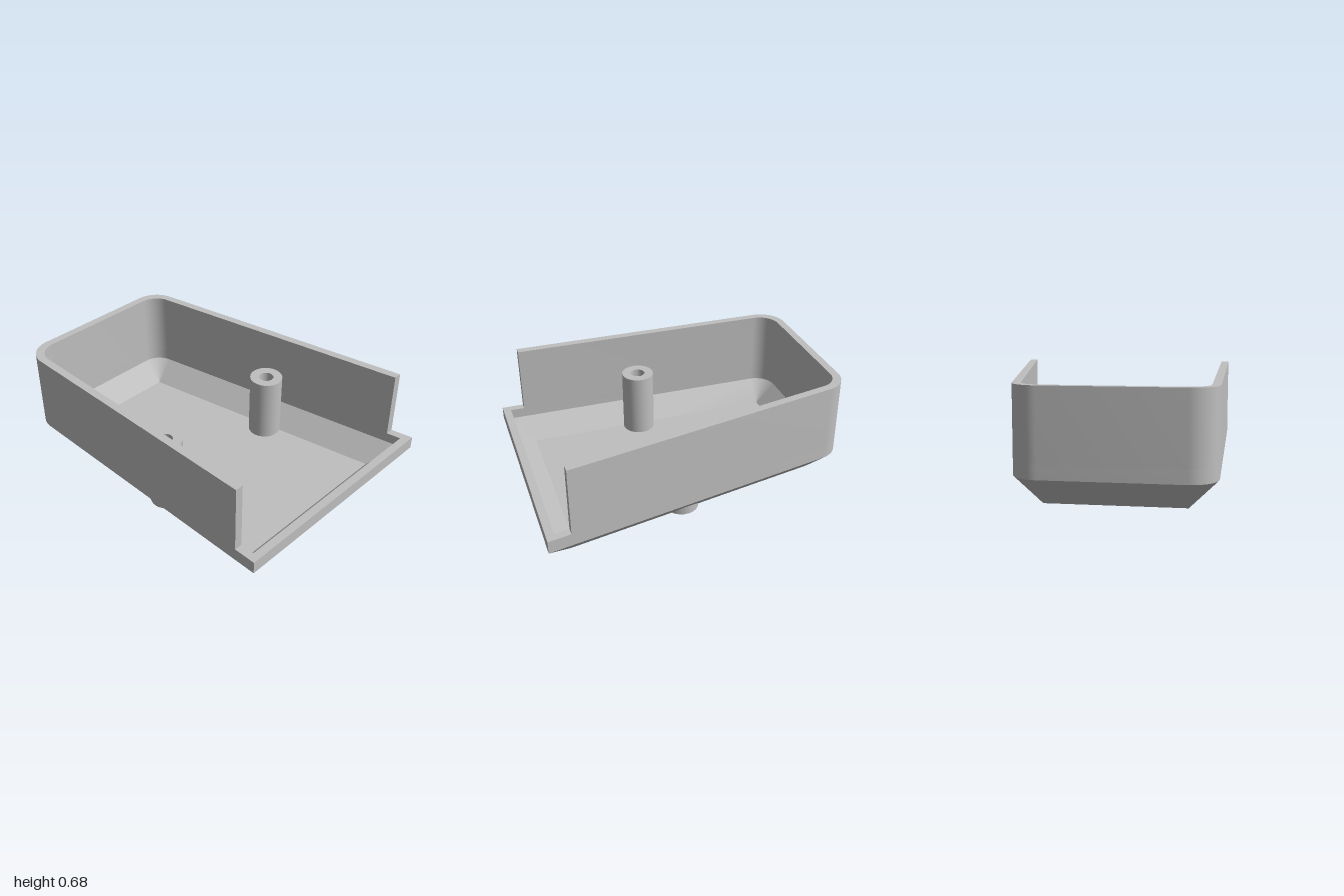
import * as THREE from 'three';
import { mergeGeometries, toCreasedNormals } from 'three/addons/utils/BufferGeometryUtils.js';

const TILT_L = 0.0137, TILT_R = 0.181;      // taper of the two side walls
const SPLIT_Z = 0.86, RIM_Y = 0.245, TOP_Y = 0.675;
const OUTER = { inset: 0, radius: 0.165, floorY: 0 };
const INNER = { inset: 0.05, radius: 0.13, floorY: 0.05 };
const POSTS = [new THREE.Vector2(-0.535, 0.09), new THREE.Vector2(0.37, 0.09)];
const POST_R = 0.105, BORE_R = 0.085, HOLE_R = 0.047;

// Plan coordinates are Vector2(x, z)
const leftAt = (d, z) => new THREE.Vector2(-0.747 + TILT_L * (1 - z) + d * Math.hypot(1, TILT_L), z);
const rightAt = (d, z) => new THREE.Vector2(0.75 - TILT_R * (1 - z) - d * Math.hypot(1, TILT_R), z);

function arc(c, r, a0, a1, n = 14) {
  return Array.from({ length: n + 1 }, (_, i) => {
    const a = a0 + (a1 - a0) * i / n;
    return new THREE.Vector2(c.x + r * Math.cos(a), c.y + r * Math.sin(a));
  });
}

// Key points of one skin: rounded back corners and straight front
function skin({ inset, radius }, frontZ = 1 - inset) {
  const d = inset + radius;
  const floor = [leftAt(d, 1 - d), leftAt(d, -1 + d), rightAt(d, -1 + d), rightAt(d, 1 - d)];
  const arcL = arc(floor[1], radius, Math.PI + Math.atan(TILT_L), 1.5 * Math.PI);
  const arcR = arc(floor[2], radius, 1.5 * Math.PI, 2 * Math.PI - Math.atan(TILT_R));
  const frontL = leftAt(inset, frontZ), frontR = rightAt(inset, frontZ);
  return { floor, arcL, arcR, frontL, frontR, outline: [frontL, ...arcL, ...arcR, frontR] };
}

// Edge a-b with a round bite for a post, bulging towards normal n
function notchedEdge(a, b, post, n) {
  const r = 0.1, dir = b.clone().sub(a).normalize();
  const half = Math.acos(a.clone().sub(post).dot(n) / r);
  const pts = [a];
  for (let i = 0; i <= 24; i++) {
    const t = -half + 2 * half * i / 24;
    pts.push(post.clone().addScaledVector(n, r * Math.cos(t)).addScaledVector(dir, r * Math.sin(t)));
  }
  return [...pts, b];
}

// Flat plan polygon lifted by a height rule, facing up or down
function face(points, height, up) {
  const g = new THREE.ShapeGeometry(new THREE.Shape(points));
  const p = g.attributes.position;
  for (let i = 0; i < p.count; i++) {
    const v = new THREE.Vector2(p.getX(i), p.getY(i));
    p.setXYZ(i, v.x, height(v), v.y);
  }
  if (up) g.index.array.reverse();
  return g.toNonIndexed();
}

// Floor, four bevels and two cone corners of one skin
function tray(spec, up) {
  const s = skin(spec), [fl, bl, br, fr] = s.floor, y0 = spec.floorY;
  const nL = new THREE.Vector2(-1, -TILT_L).normalize();
  const nR = new THREE.Vector2(1, -TILT_R).normalize();
  const neg = (v) => v.clone().negate();
  const bevel = (pts, a, n) => face(pts, (v) => y0 + v.clone().sub(a).dot(n), up);
  const parts = [
    face([...notchedEdge(fl, bl, POSTS[0], neg(nL)), ...notchedEdge(br, fr, POSTS[1], neg(nR))], () => y0, up),
    bevel([...notchedEdge(fl, bl, POSTS[0], nL), s.arcL[0], s.frontL], fl, nL),
    bevel([...notchedEdge(br, fr, POSTS[1], nR), s.frontR, s.arcR.at(-1)], fr, nR),
    bevel([bl, br, s.arcR[0], s.arcL.at(-1)], bl, new THREE.Vector2(0, -1)),
    bevel([fl, fr, s.frontR, s.frontL], fl, new THREE.Vector2(0, 1)),
  ];
  for (const [c, pts] of [[bl, s.arcL], [br, s.arcR]])
    for (let i = 0; i < pts.length - 1; i++)
      parts.push(face([c, pts[i], pts[i + 1]], (v) => y0 + v.distanceTo(c), up));
  return toCreasedNormals(mergeGeometries(parts), 0.4);
}

// Plan shape raised from y0 to y1
function raise(shape, y0, y1) {
  const g = new THREE.ExtrudeGeometry(shape, { depth: y1 - y0, bevelEnabled: false });
  g.rotateX(Math.PI / 2).translate(0, y1, 0);
  return toCreasedNormals(g, 0.4);
}

export function createModel() {
  const group = new THREE.Group();
  const grey = new THREE.MeshStandardMaterial({ color: 0xbfbfbf });
  grey.name = 'plain grey';
  const add = (name, geometry) => {
    const m = new THREE.Mesh(geometry, grey);
    m.name = name;
    group.add(m);
    return m;
  };

  // Bevelled underside and matching inside floor
  add('outerTray', tray(OUTER, false));
  add('innerTray', tray(INNER, true));

  // Low rim all the way round
  const rim = new THREE.Shape(skin(OUTER).outline);
  rim.holes.push(new THREE.Path(skin(INNER).outline));
  add('rim', raise(rim, OUTER.radius, RIM_Y));

  // Tall wall on three sides, open at the front
  const wall = [...skin(OUTER, SPLIT_Z).outline, ...skin(INNER, SPLIT_Z).outline.reverse()];
  add('wall', raise(new THREE.Shape(wall), RIM_Y, TOP_Y));

  // Hollow screw posts, counterbored from below
  const profile = [
    [BORE_R, 0], [POST_R, 0], [POST_R, 0.465], [HOLE_R, 0.465],
    [HOLE_R, 0.3], [BORE_R, 0.3], [BORE_R, 0],
  ].map(([r, y]) => new THREE.Vector2(r, y));
  POSTS.forEach((p, i) => {
    const post = add(i ? 'leftPost' : 'rightPost', toCreasedNormals(new THREE.LatheGeometry(profile, 40), 0.4));
    post.position.set(p.x, 0, p.y);
  });
  return group;
}
